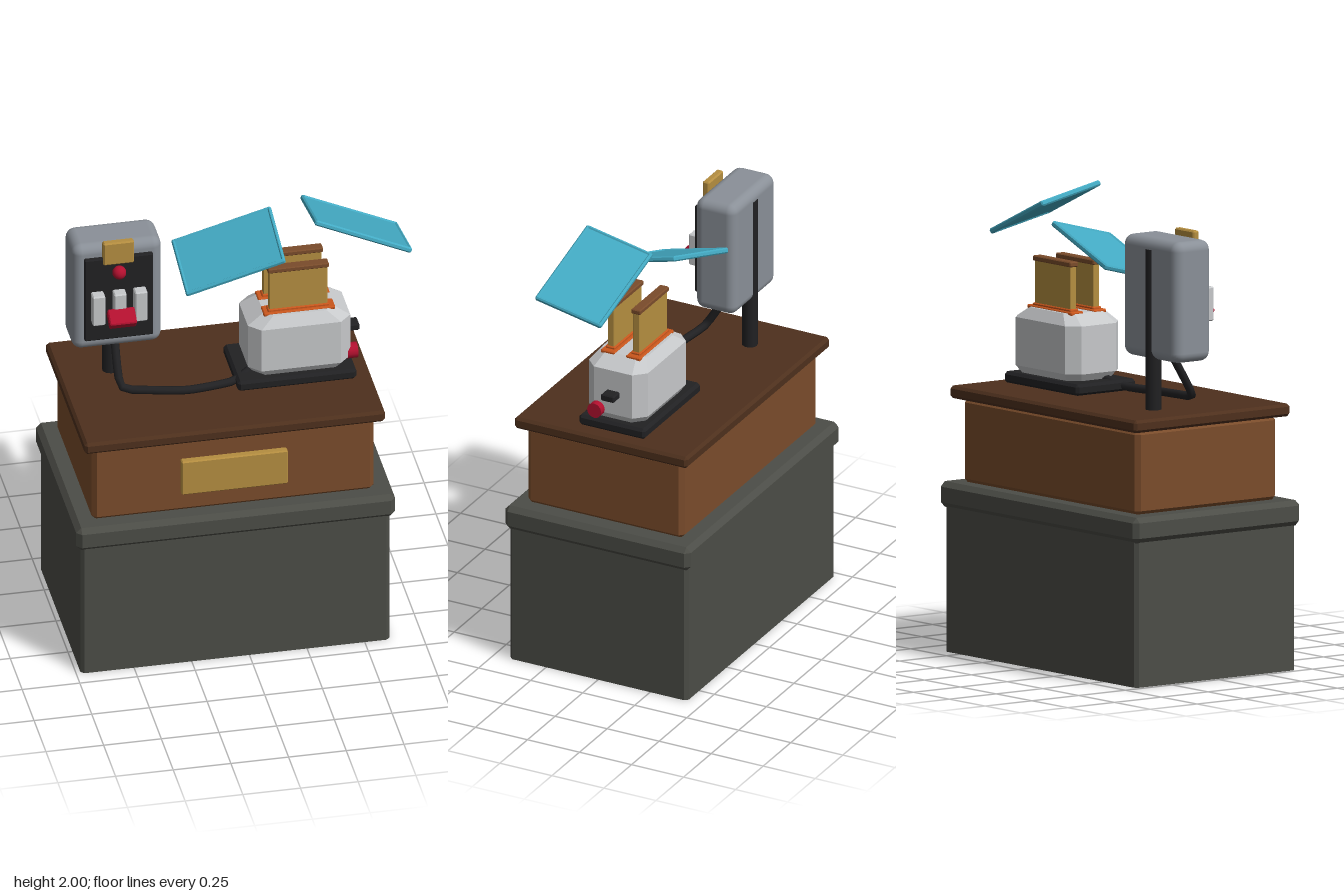
import * as THREE from 'three';
import { RoundedBoxGeometry } from 'three/addons/geometries/RoundedBoxGeometry.js';
import { ConvexGeometry } from 'three/addons/geometries/ConvexGeometry.js';

const material = (name, color) => {
  const m = new THREE.MeshStandardMaterial({ color });
  m.name = name;
  return m;
};

// Box with every edge cut at 45 degrees, flat faces
function bevelBox(w, h, d, c) {
  const pts = [];
  for (const x of [-w / 2, w / 2]) for (const y of [-h / 2, h / 2]) for (const z of [-d / 2, d / 2]) {
    const cx = x - Math.sign(x) * c, cy = y - Math.sign(y) * c, cz = z - Math.sign(z) * c;
    pts.push(new THREE.Vector3(x, cy, cz), new THREE.Vector3(cx, y, cz), new THREE.Vector3(cx, cy, z));
  }
  return new ConvexGeometry(pts);
}

// Solid from stacked octagonal rings: [y, half width, half depth, corner cut]
function octagonStack(rings) {
  const pts = [];
  for (const [y, a, b, c] of rings)
    for (const sx of [-1, 1]) for (const sz of [-1, 1])
      pts.push(new THREE.Vector3(sx * a, y, sz * (b - c)), new THREE.Vector3(sx * (a - c), y, sz * b));
  return new ConvexGeometry(pts);
}

export function createModel() {
  const stone = material('stone', 0x4c4d47);
  const wood = material('wood', 0x7a4c2b);
  const darkWood = material('dark wood', 0x4e301d);
  const gold = material('gold', 0xb58e40);
  const black = material('black', 0x212123);
  const lightGrey = material('light grey', 0xc6c8ca);
  const metal = material('grey metal', 0x8a9098);
  const red = material('red', 0xb3102f);
  const orange = material('orange', 0xc9561c);
  const teal = material('teal', 0x43aac3);

  const model = new THREE.Group();
  const add = (name, geometry, mat, x = 0, y = 0, z = 0, parent = model) => {
    const mesh = new THREE.Mesh(geometry, mat);
    mesh.name = name;
    mesh.position.set(x, y, z);
    parent.add(mesh);
    return mesh;
  };
  // Bevelled block given by its extents
  const block = (name, mat, [x0, x1], [y0, y1], [z0, z1], c, parent = model) =>
    add(name, bevelBox(x1 - x0, y1 - y0, z1 - z0, c), mat,
      (x0 + x1) / 2, (y0 + y1) / 2, (z0 + z1) / 2, parent);
  const group = (name) => {
    const g = new THREE.Group();
    g.name = name;
    model.add(g);
    return g;
  };

  // Pedestal and wooden plinth
  const plinth = group('plinth');
  add('pedestal', octagonStack([[0, 0.67, 0.428, 0.015], [0.64, 0.67, 0.428, 0.015]]), stone, -0.06, 0, 0, plinth);
  block('pedestalCap', stone, [-0.75, 0.632], [0.62, 0.73], [-0.446, 0.446], 0.022, plinth);
  block('woodBox', wood, [-0.67, 0.553], [0.725, 1.092], [-0.376, 0.376], 0.02, plinth);
  block('woodTop', darkWood, [-0.71, 0.592], [1.088, 1.142], [-0.416, 0.416], 0.012, plinth);
  block('plaque', gold, [-0.288, 0.172], [0.826, 0.992], [0.37, 0.405], 0.005, plinth);

  // Toaster
  const toaster = group('toaster');
  const tx = 0.288, tz = -0.018;
  block('toasterBase', black, [0.01, 0.525], [1.14, 1.19], [-0.177, 0.141], 0.012, toaster);
  add('toasterBody', octagonStack([
    [1.185, 0.195, 0.118, 0.045],
    [1.222, 0.222, 0.142, 0.05],
    [1.428, 0.222, 0.142, 0.05],
    [1.474, 0.15, 0.108, 0.035],
  ]), lightGrey, tx, 0, tz, toaster);
  for (const z of [0.043, -0.079]) {
    block('slotTrim', orange, [0.135, 0.445], [1.464, 1.48], [z - 0.034, z + 0.034], 0.004, toaster);
    block('slotCollar', orange, [0.155, 0.421], [1.475, 1.49], [z - 0.022, z + 0.022], 0.004, toaster);
    block('toast', gold, [0.162, 0.414], [1.45, 1.675], [z - 0.016, z + 0.016], 0.003, toaster);
    block('toastCrust', wood, [0.156, 0.42], [1.67, 1.692], [z - 0.022, z + 0.022], 0.004, toaster);
  }
  block('lever', black, [0.495, 0.563], [1.303, 1.334], [-0.05, 0.013], 0.005, toaster);
  add('knob', new THREE.CylinderGeometry(0.034, 0.034, 0.045, 12), red, 0.52, 1.236, 0.055, toaster)
    .rotation.z = Math.PI / 2;

  // Control box on its post
  const control = group('controlBox');
  add('post', new THREE.CylinderGeometry(0.034, 0.034, 0.69, 10), black, -0.486, 1.485, -0.148, control);
  add('housing', new RoundedBoxGeometry(0.387, 0.52, 0.195, 3, 0.042), metal, -0.487, 1.618, -0.077, control);
  block('facePlate', black, [-0.633, -0.336], [1.415, 1.822], [0.01, 0.04], 0.005, control);
  for (const x of [-0.58, -0.487, -0.397])
    block('key', lightGrey, [x - 0.027, x + 0.027], [1.516, 1.662], [0.035, 0.085], 0.005, control);
  add('redSwitch', bevelBox(0.117, 0.045, 0.075, 0.005), red, -0.485, 1.554, 0.098, control).rotation.x = 0.62;
  add('lamp', new THREE.SphereGeometry(0.03, 14, 10), red, -0.487, 1.756, 0.055, control);
  block('tag', gold, [-0.554, -0.42], [1.79, 1.9], [0.014, 0.046], 0.006, control);

  // Cable from the control box to the toaster
  const path = new THREE.CatmullRomCurve3([
    [-0.486, 1.4, -0.07], [-0.482, 1.19, 0.06], [-0.36, 1.17, 0.09],
    [-0.2, 1.162, 0.11], [0, 1.162, 0.08], [0.1, 1.195, 0.03],
  ].map((p) => new THREE.Vector3(...p)), false, 'catmullrom', 0.3);
  add('cable', new THREE.TubeGeometry(path, 20, 0.018, 8), black);

  // Floating panes, oriented by their width and depth directions
  const pane = (name, centre, u, v) => {
    const g = group(name);
    const x = new THREE.Vector3(...u).normalize(), z = new THREE.Vector3(...v).normalize();
    const y = z.clone().cross(x).normalize();
    z.crossVectors(x, y);
    g.quaternion.setFromRotationMatrix(new THREE.Matrix4().makeBasis(x, y, z));
    g.position.set(...centre);
    add('paneSlab', bevelBox(0.425, 0.014, 0.3, 0.004), teal, 0, 0, 0, g);
    for (const s of [-1, 1]) {
      add('paneRimLong', bevelBox(0.447, 0.024, 0.016, 0.006), teal, 0, 0, s * 0.153, g);
      add('paneRimShort', bevelBox(0.016, 0.024, 0.32, 0.006), teal, s * 0.2155, 0, 0, g);
    }
  };
  pane('leftPane', [0.002, 1.752, -0.02], [0.425, 0.14, 0.035], [0, -0.08, 0.31]);
  pane('rightPane', [0.539, 1.871, 0.058], [0.415, -0.175, 0.035], [0, 0.065, 0.32]);

  return model;
}
